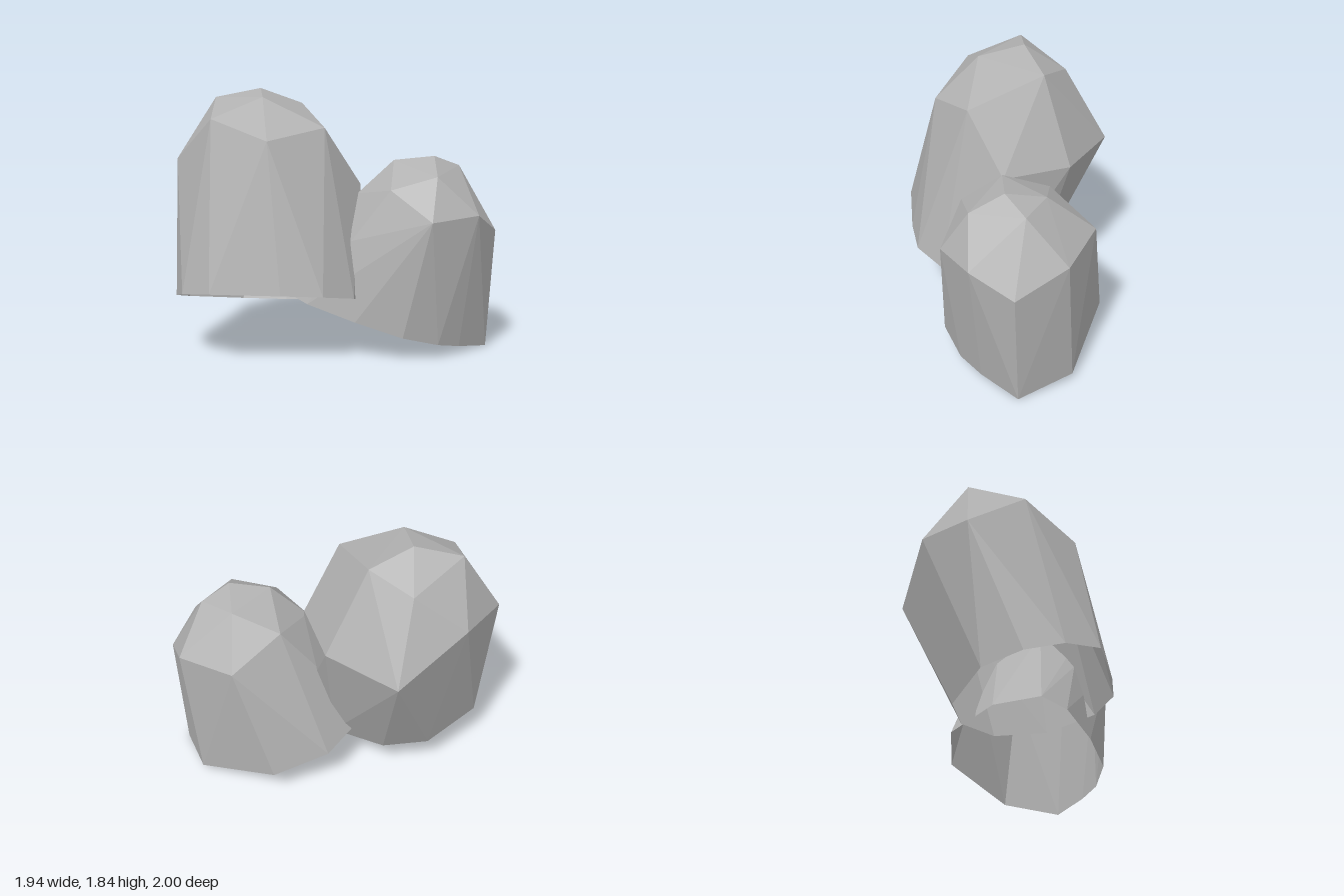
import * as THREE from 'three';
import { ConvexGeometry } from 'three/addons/geometries/ConvexGeometry.js';

// Faceted shell around a crown and a tilted rim, left open underneath
function rockShell(crown, rim, rimHeight) {
  const points = crown.map(p => new THREE.Vector3(...p));
  for (const [x, z] of rim) points.push(new THREE.Vector3(x, rimHeight(x, z), z));
  const hull = new ConvexGeometry(points).getAttribute('position');
  const kept = [];
  const tri = new THREE.Triangle(), normal = new THREE.Vector3();
  for (let i = 0; i < hull.count; i += 3) {
    tri.setFromAttributeAndIndices(hull, i, i + 1, i + 2);
    tri.getNormal(normal);
    if (normal.y < -0.8) continue; // drop the underside
    for (const v of [tri.a, tri.b, tri.c]) kept.push(v.x, v.y, v.z);
  }
  const geometry = new THREE.BufferGeometry();
  geometry.setAttribute('position', new THREE.Float32BufferAttribute(kept, 3));
  geometry.computeVertexNormals();
  return geometry;
}

export function createModel() {
  const group = new THREE.Group();
  group.name = 'rocks';
  const stone = new THREE.MeshStandardMaterial({ color: 0xb0b0b0, flatShading: true, side: THREE.DoubleSide });
  stone.name = 'stone grey';

  const add = (name, geometry) => {
    const mesh = new THREE.Mesh(geometry, stone);
    mesh.name = name;
    group.add(mesh);
  };

  // Tall rock at the front
  add('tallRock', rockShell(
    [
      [-0.495, 1.85, 0.18], [-0.74, 1.785, 0.4], [-0.23, 1.795, 0.385],
      [-0.36, 1.74, -0.1], [-0.7, 1.65, -0.04], [-0.45, 1.645, 0.67],
      [-0.88, 1.345, 0.65], [0.03, 1.51, 0.57], [0.16, 1.59, 0.16],
      [-0.97, 1.395, 0.2], [-0.84, 1.13, -0.32], [-0.27, 1.16, -0.41],
      [0.18, 1.18, -0.17],
    ],
    [
      [-0.76, 0.65], [-0.6, 0.88], [-0.37, 0.995], [-0.09, 0.98], [0.25, 0.65],
      [0.43, 0.43], [0.46, 0.17], [0.25, -0.12], [-0.14, -0.2], [-0.49, -0.05], [-0.7, 0.2],
    ],
    (x, z) => 0.34 + 0.161 * x + 0.188 * z
  ));

  // Short rock behind it
  add('shortRock', rockShell(
    [
      [0.58, 1.385, -0.5], [0.37, 1.355, -0.31], [0.75, 1.26, -0.34],
      [0.54, 1.17, -0.1], [0.85, 0.97, -0.18], [0.97, 1.0, -0.52],
      [0.88, 0.86, -0.82], [0.555, 1.02, -1.0], [0.63, 1.31, -0.71],
      [0.36, 1.32, -0.67], [0.08, 1.2, -0.49], [0.12, 1.05, -0.9],
      [0.2, 1.12, -0.12], [0.35, 0.82, 0.09],
    ],
    [
      [0.82, -0.81], [0.83, -0.5], [0.81, -0.3], [0.7, -0.06], [0.44, 0.14], [0.13, 0.3],
      [-0.08, 0.3], [-0.28, 0], [-0.34, -0.46], [-0.14, -0.8], [0.44, -0.98],
    ],
    (x, z) => 0.35 - 0.237 * x + 0.18 * z
  ));

  return group;
}
